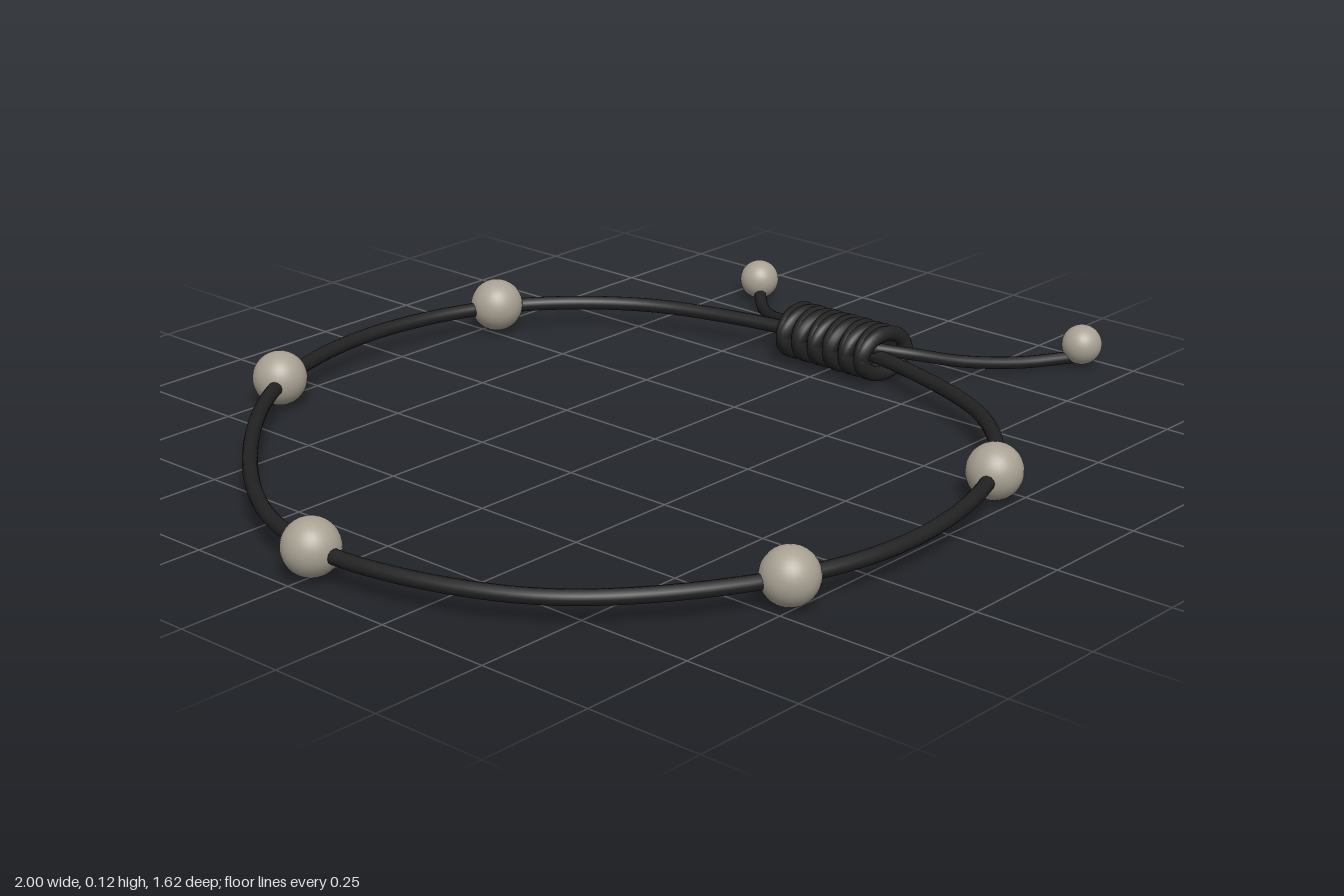
import * as THREE from 'three';

const cordMat = new THREE.MeshStandardMaterial({ color: 0x222222 });
cordMat.name = 'black cord';
const beadMat = new THREE.MeshStandardMaterial({ color: 0xa8a193 });
beadMat.name = 'stone bead';

const v = (x, y, z) => new THREE.Vector3(x, y, z);

export function createModel() {
  const group = new THREE.Group();
  group.name = 'cordBracelet';

  const add = (name, geometry, material) => {
    const mesh = new THREE.Mesh(geometry, material);
    mesh.name = name;
    group.add(mesh);
    return mesh;
  };
  const bead = (name, r, x, y, z) =>
    add(name, new THREE.SphereGeometry(r, 32, 20), beadMat).position.set(x, y, z);
  const cord = (name, points, r, segments, closed = false) => {
    const curve = new THREE.CatmullRomCurve3(points, closed);
    add(name, new THREE.TubeGeometry(curve, segments, r, 12, closed), cordMat);
    // Rounded ends
    if (!closed) for (const p of [points[0], points[points.length - 1]])
      add(name + 'End', new THREE.SphereGeometry(r, 12, 8), cordMat).position.copy(p);
  };

  // Wrist loop, passing through the knot
  const loop = [
    [0.59, 0], [0.58, -0.2], [0.486, -0.5], [0.266, -0.717], [-0.045, -0.792],
    [-0.381, -0.71], [-0.697, -0.45], [-0.9, -0.15], [-0.936, 0.11], [-0.803, 0.477],
    [-0.457, 0.732], [-0.155, 0.793], [0.198, 0.707], [0.435, 0.505], [0.556, 0.21],
  ].map(([x, z]) => v(x, 0.058, z));
  cord('loopCord', loop, 0.0155, 200, true);

  // Beads threaded on the loop
  [[-0.943, 0.003], [-0.381, -0.719], [0.266, -0.719], [0.197, 0.711], [-0.458, 0.738]]
    .forEach(([x, z], i) => bead('loopBead' + (i + 1), 0.058, x, 0.063, z));

  // Sliding knot: two flattened coils wound in opposite directions around the loop
  const turns = 6, steps = turns * 16;
  for (const [name, hand] of [['knotCoilA', 1], ['knotCoilB', -1]]) {
    const coil = [];
    for (let i = 0; i <= steps; i++) {
      const a = (i / steps) * turns * Math.PI * 2;
      coil.push(v(0.592 + 0.063 * Math.cos(a), 0.062 + hand * 0.044 * Math.sin(a), -0.12 + 0.259 * i / steps));
    }
    cord(name, coil, 0.0165, 320);
  }

  // Loose tails with end beads
  cord('backTail', [v(0.585, 0.075, -0.11), v(0.622, 0.06, -0.175), v(0.68, 0.036, -0.26),
    v(0.75, 0.02, -0.343), v(0.826, 0.022, -0.417)], 0.0135, 40);
  cord('frontTail', [v(0.575, 0.075, 0.12), v(0.635, 0.06, 0.178), v(0.73, 0.034, 0.243),
    v(0.84, 0.02, 0.315), v(0.945, 0.022, 0.385)], 0.0135, 40);
  bead('backTailBead', 0.044, 0.833, 0.05, -0.424);
  bead('frontTailBead', 0.044, 0.955, 0.05, 0.393);

  return group;
}
